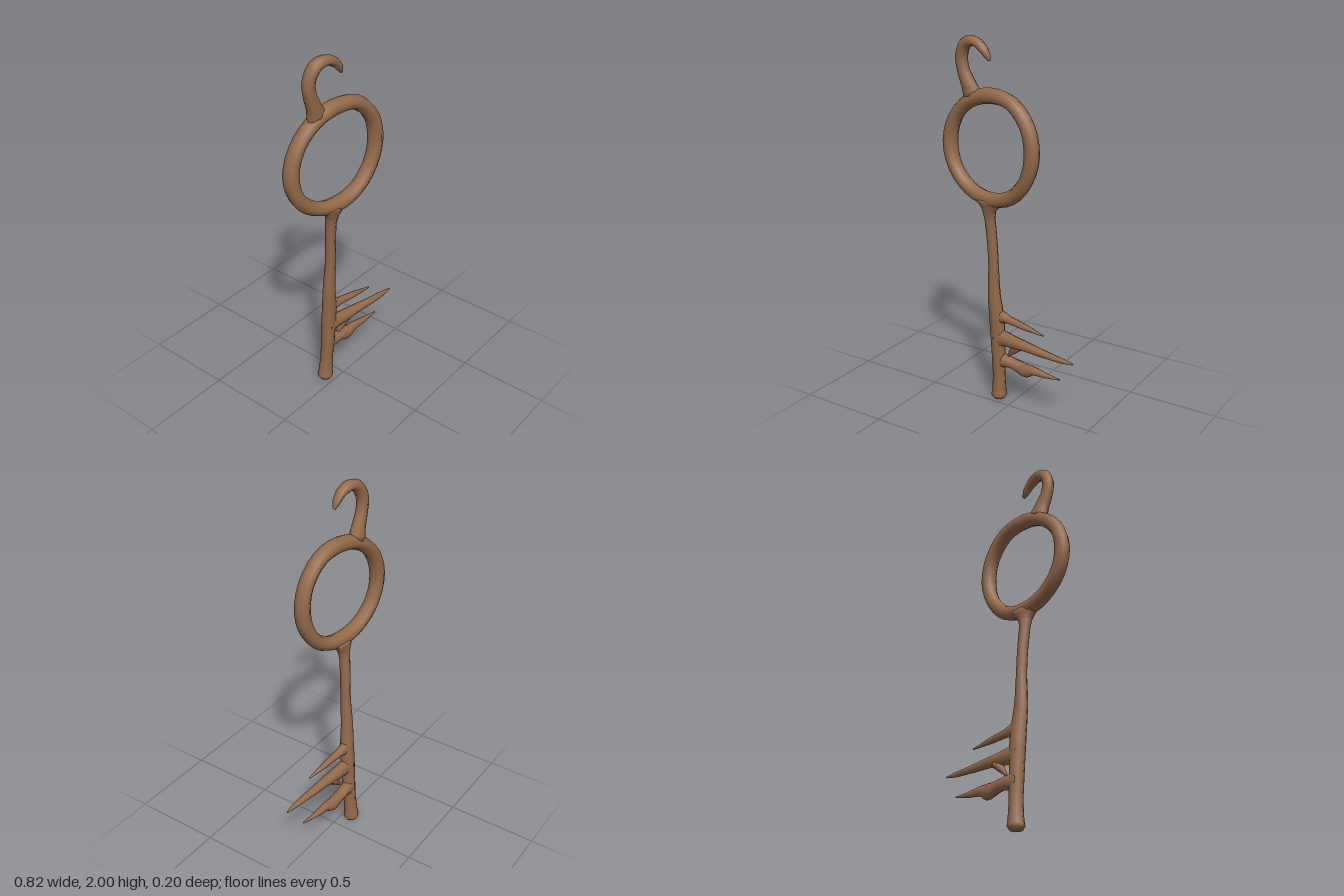
import * as THREE from 'three';

const bronze = new THREE.MeshStandardMaterial({ color: 0x946a4a });
bronze.name = 'aged bronze';

// Sweeps an oval along points [x, y, z, radius, depthRadius]; the path lies near the xy plane.
function limb(name, points, { steps = 16, sides = 8, closed = false } = {}) {
  const path = new THREE.CatmullRomCurve3(points.map(p => new THREE.Vector3(p[0], p[1], p[2])), closed);
  const size = new THREE.CatmullRomCurve3(points.map(p => new THREE.Vector3(p[3], p[4] ?? p[3], 0)), closed);
  const rings = closed ? steps : steps + 1;
  const position = [], index = [];
  // sample radii with the path's own parameter so that both stay in step
  const spans = closed ? points.length : points.length - 1;
  const radiusAt = t => {
    const f = t * spans, i = Math.min(Math.floor(f), spans - 1);
    const a = points[i], b = points[(i + 1) % points.length];
    const k = f - i;
    return [a[3] + (b[3] - a[3]) * k, (a[4] ?? a[3]) + ((b[4] ?? b[3]) - (a[4] ?? a[3])) * k];
  };
  for (let i = 0; i < rings; i++) {
    const t = i / steps;
    const c = path.getPoint(t), d = path.getTangent(t);
    const n = new THREE.Vector2(-d.y, d.x).normalize();
    const [r, rz] = radiusAt(t);
    for (let j = 0; j < sides; j++) {
      const a = (j / sides) * Math.PI * 2;
      const u = Math.cos(a) * r;
      position.push(c.x + n.x * u, c.y + n.y * u, c.z + Math.sin(a) * rz);
    }
  }
  for (let i = 0; i < steps; i++) {
    const k = (i + 1) % rings;
    for (let j = 0; j < sides; j++) {
      const m = (j + 1) % sides;
      const a = i * sides + j, b = i * sides + m, c = k * sides + j, d = k * sides + m;
      index.push(a, b, c, b, d, c);
    }
  }
  // end caps
  if (!closed) {
    for (const [t, base, flip] of [[0, 0, true], [1, steps * sides, false]]) {
      const c = path.getPoint(t), hub = position.length / 3;
      position.push(c.x, c.y, c.z);
      for (let j = 0; j < sides; j++) {
        const a = base + j, b = base + (j + 1) % sides;
        index.push(hub, flip ? b : a, flip ? a : b);
      }
    }
  }
  const geometry = new THREE.BufferGeometry();
  geometry.setAttribute('position', new THREE.Float32BufferAttribute(position, 3));
  geometry.setIndex(index);
  geometry.computeVertexNormals();
  const mesh = new THREE.Mesh(geometry, bronze);
  mesh.name = name;
  return mesh;
}

export function createModel() {
  const key = new THREE.Group();
  key.name = 'key';

  // Bow: a slightly uneven ring, turned so that its +x side comes forward
  const bow = [];
  const reach = [0.273, 0.282, 0.285, 0.268, 0.262, 0.266, 0.272, 0.274, 0.27, 0.268, 0.272, 0.27];
  reach.forEach((r, i) => {
    const a = (i / reach.length) * Math.PI * 2;
    const x = -0.097 + Math.cos(a) * r;
    bow.push([x, 1.44 + Math.sin(a) * r, 0.022 + (x + 0.097) * 0.145, i % 3 ? 0.038 : 0.041, 0.041]);
  });
  key.add(limb('bow', bow, { steps: 36, closed: true }));

  // Hook on the bow
  key.add(limb('hook', [
    [-0.205, 1.69, 0.005, 0.062, 0.035], [-0.228, 1.75, 0.01, 0.043, 0.033],
    [-0.258, 1.82, 0.013, 0.034, 0.03], [-0.266, 1.89, 0.015, 0.033, 0.032],
    [-0.235, 1.955, 0.025, 0.032, 0.034], [-0.18, 1.973, 0.037, 0.026, 0.034],
    [-0.125, 1.95, 0.047, 0.024, 0.027], [-0.092, 1.912, 0.05, 0.018, 0.02],
    [-0.077, 1.885, 0.05, 0.007]
  ], { steps: 24 }));

  // Shaft with flared neck and foot
  key.add(limb('shaft', [
    [-0.095, 0, -0.056, 0.032], [-0.095, 0.02, -0.056, 0.045, 0.043],
    [-0.093, 0.06, -0.054, 0.04, 0.038], [-0.09, 0.15, -0.048, 0.035],
    [-0.088, 0.28, -0.04, 0.039, 0.037], [-0.088, 0.42, -0.032, 0.045, 0.037],
    [-0.092, 0.53, -0.024, 0.044, 0.034], [-0.1, 0.63, -0.018, 0.037, 0.032],
    [-0.098, 0.8, -0.01, 0.028], [-0.101, 0.93, -0.004, 0.028],
    [-0.108, 1.06, 0.006, 0.029], [-0.107, 1.11, 0.013, 0.039, 0.034],
    [-0.103, 1.17, 0.02, 0.088, 0.042]
  ], { steps: 36 }));

  // Thorn-like bits
  key.add(limb('upperBit', [
    [-0.1, 0.51, -0.026, 0.045, 0.03], [-0.05, 0.506, -0.026, 0.037, 0.025],
    [-0.01, 0.502, -0.022, 0.022], [0.1, 0.489, -0.01, 0.017], [0.22, 0.474, 0.003, 0.004]
  ]));
  key.add(limb('middleBit', [
    [-0.1, 0.38, -0.035, 0.065, 0.035], [-0.04, 0.38, -0.03, 0.046, 0.032],
    [0.03, 0.377, -0.022, 0.036, 0.032], [0.1, 0.376, -0.014, 0.029, 0.028],
    [0.22, 0.37, 0, 0.021, 0.022], [0.34, 0.366, 0.012, 0.014], [0.405, 0.364, 0.014, 0.004]
  ], { steps: 20 }));
  key.add(limb('lowerBit', [
    [-0.1, 0.238, -0.046, 0.055, 0.034], [-0.045, 0.24, -0.048, 0.038, 0.034],
    [0, 0.236, -0.048, 0.029, 0.034], [0.04, 0.228, -0.046, 0.035, 0.03],
    [0.08, 0.219, -0.044, 0.045, 0.028], [0.13, 0.232, -0.038, 0.028, 0.022],
    [0.21, 0.23, -0.03, 0.016], [0.31, 0.236, -0.018, 0.004]
  ], { steps: 24 }));

  // Small spur beneath the middle bit
  key.add(limb('spur', [
    [0.05, 0.36, -0.022, 0.028], [0.015, 0.325, -0.025, 0.02], [-0.015, 0.288, -0.028, 0.008]
  ], { steps: 6, sides: 6 }));

  return key;
}
